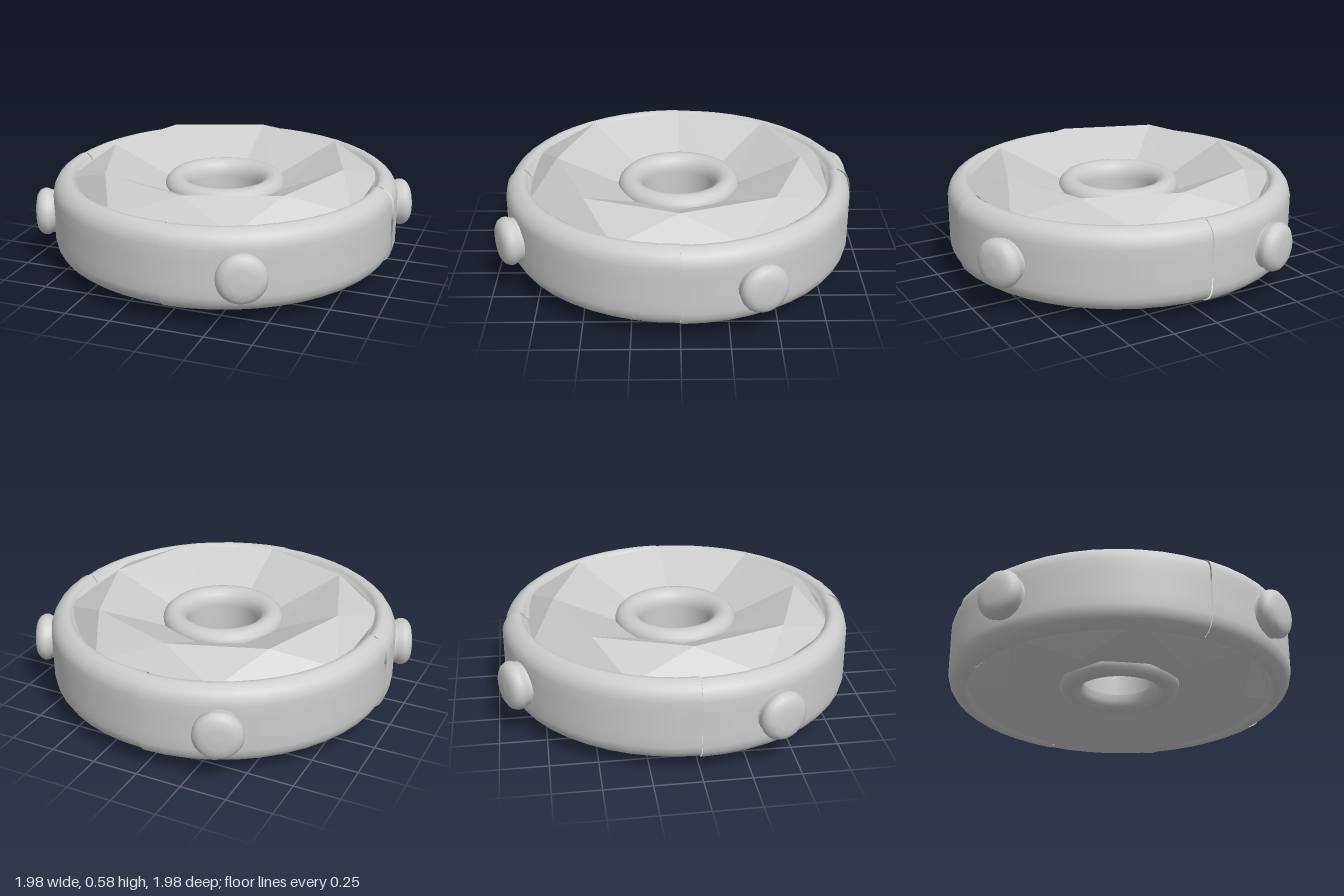
import * as THREE from 'three';

const MID = 0.2925; // height of the horizontal mirror plane

// closes a half profile (listed from the mirror plane up and inward) into a loop
function mirrored(half) {
  const up = half.map(([r, y]) => new THREE.Vector2(r, y));
  const down = half.map(([r, y]) => new THREE.Vector2(r, -y)).reverse();
  return [...down, ...up, down[0].clone()];
}

// faceted face: sloping dish, octagonal ridge and outer triangles
function facetedFace() {
  const pos = [];
  const at = (r, y, step) => {
    const a = step * Math.PI / 4;
    return [r * Math.cos(a), y, -r * Math.sin(a)];
  };
  const hub = i => at(0.3, 0.125, i);
  const ridge = i => at(i % 2 ? 0.7 : 0.67, 0.2925, i);
  const corner = i => at(0.87, 0.18, i + 0.5);
  const tri = (a, b, c) => pos.push(...a, ...b, ...c);
  for (let i = 0; i < 8; i++) {
    tri(hub(i), ridge(i), ridge(i + 1));
    tri(hub(i), ridge(i + 1), hub(i + 1));
    tri(ridge(i), corner(i), ridge(i + 1));
    tri(ridge(i + 1), corner(i), corner(i + 1));
  }
  const g = new THREE.BufferGeometry();
  g.setAttribute('position', new THREE.Float32BufferAttribute(pos, 3));
  g.computeVertexNormals();
  return g;
}

export function createModel() {
  const model = new THREE.Group();
  model.name = 'wheel';
  const body = new THREE.Group();
  body.name = 'wheelBody';
  body.position.y = MID;
  model.add(body);

  const grey = new THREE.MeshStandardMaterial({ color: 0xcccccc, side: THREE.DoubleSide });
  grey.name = 'light grey';

  const add = (geo, name, parent = body) => {
    const m = new THREE.Mesh(geo, grey);
    m.name = name;
    parent.add(m);
    return m;
  };

  // rim: four quarter segments, each tapering slightly so a step marks the seams
  const rimProfile = mirrored([
    [0.95, 0.06], [0.95, 0.125], [0.942, 0.16], [0.925, 0.188], [0.9, 0.207],
    [0.875, 0.219], [0.855, 0.219], [0.838, 0.205], [0.825, 0.183], [0.78, 0.165],
  ]);
  const rimGeo = new THREE.LatheGeometry(rimProfile, 12, 0, Math.PI / 2);
  const p = rimGeo.attributes.position;
  for (let i = 0; i < p.count; i++) {
    const turn = Math.atan2(p.getX(i), p.getZ(i)) / (Math.PI / 2);
    const s = 1.005 - 0.012 * turn;
    p.setX(i, p.getX(i) * s);
    p.setZ(i, p.getZ(i) * s);
  }

  // side knob: slightly waisted stud with a rounded end
  const knobGeo = new THREE.LatheGeometry([
    [0.135, 0.88], [0.13, 0.925], [0.118, 0.945], [0.12, 0.965], [0.13, 0.985],
    [0.13, 1.005], [0.118, 1.028], [0.095, 1.043], [0.06, 1.05], [0, 1.052],
  ].map(([r, y]) => new THREE.Vector2(r, y)), 24);

  for (let k = 0; k < 4; k++) {
    add(rimGeo, 'rimQuarter').rotation.y = k * Math.PI / 2;
    const arm = new THREE.Group();
    arm.name = 'knobMount';
    arm.rotation.y = THREE.MathUtils.degToRad(24.5) + k * Math.PI / 2;
    add(knobGeo, 'knob', arm).rotation.z = -Math.PI / 2;
    body.add(arm);
  }

  // faceted faces, top and bottom
  const face = facetedFace();
  add(face, 'topFacets');
  add(face, 'bottomFacets').rotation.x = Math.PI;

  // hub: rounded collar around the open bore
  const hubProfile = mirrored([
    [0.335, 0.08], [0.336, 0.14], [0.327, 0.168], [0.305, 0.19], [0.275, 0.198],
    [0.245, 0.192], [0.22, 0.173], [0.205, 0.145], [0.2, 0.11],
  ]);
  add(new THREE.LatheGeometry(hubProfile, 48), 'hub');

  return model;
}
